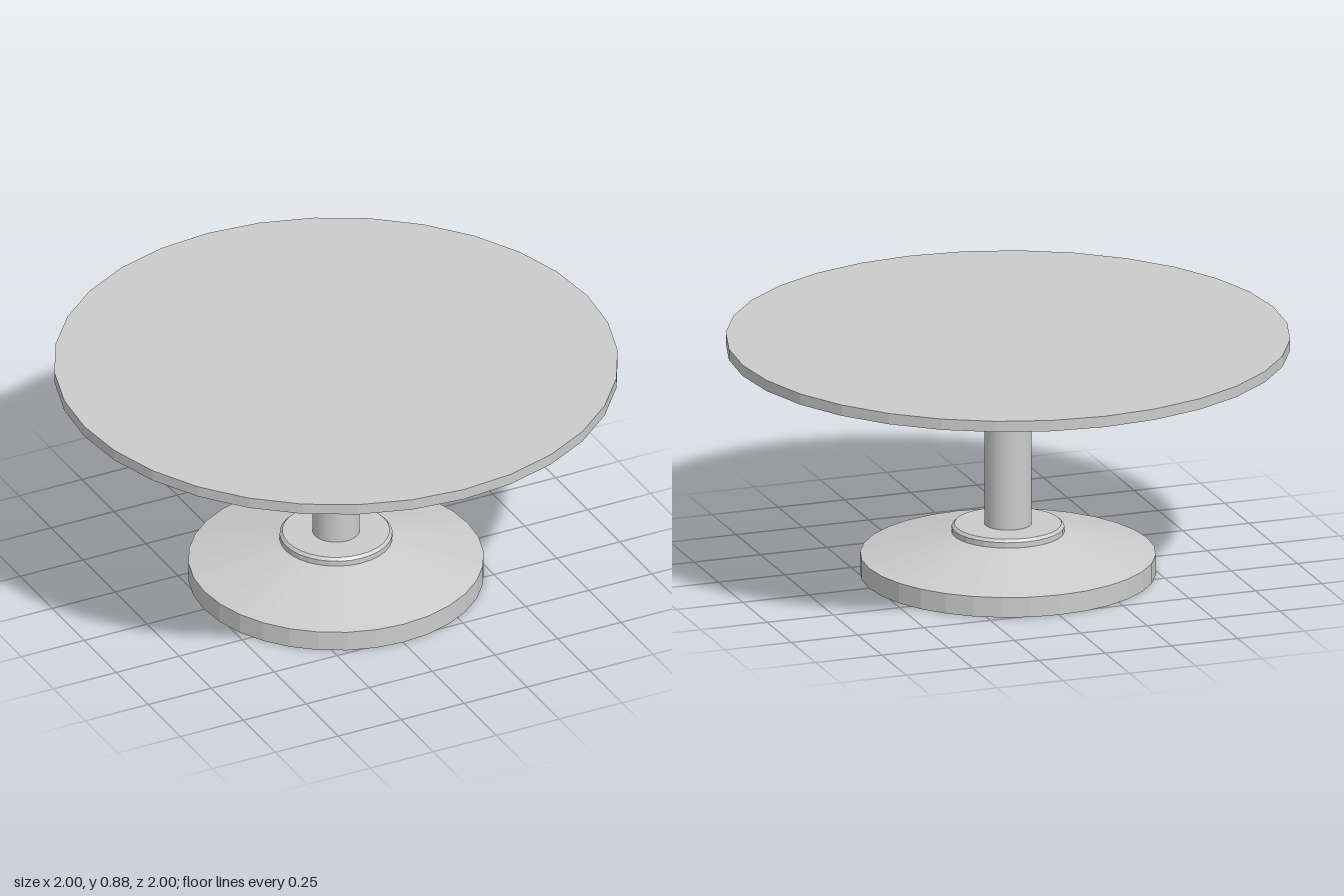
import * as THREE from 'three';

const SIDES = 32;

export function createModel() {
  const table = new THREE.Group();
  table.name = 'pedestalTable';
  const faceted = new THREE.MeshStandardMaterial({ color: 0xcccccc, flatShading: true });
  const smooth = new THREE.MeshStandardMaterial({ color: 0xcccccc });

  const add = (name, geometry, material, y = 0) => {
    const mesh = new THREE.Mesh(geometry, material);
    mesh.name = name;
    mesh.position.y = y;
    table.add(mesh);
  };
  const lathe = (points) =>
    new THREE.LatheGeometry(points.map(([r, y]) => new THREE.Vector2(r, y)), SIDES);

  // Thin round top
  add('tabletop', new THREE.CylinderGeometry(1, 1, 0.04, SIDES), faceted, 0.86);

  // Column from the collar up to the underside of the top
  add('column', new THREE.CylinderGeometry(0.084, 0.084, 0.66, SIDES), smooth, 0.51);

  // Foot: upright rim, sloping upper face and a small collar with a bevelled edge
  add('base', lathe([
    [0, 0], [0.524, 0], [0.524, 0.074], [0.2, 0.155],
    [0.2, 0.175], [0.19, 0.185], [0, 0.185],
  ]), faceted);

  return table;
}
